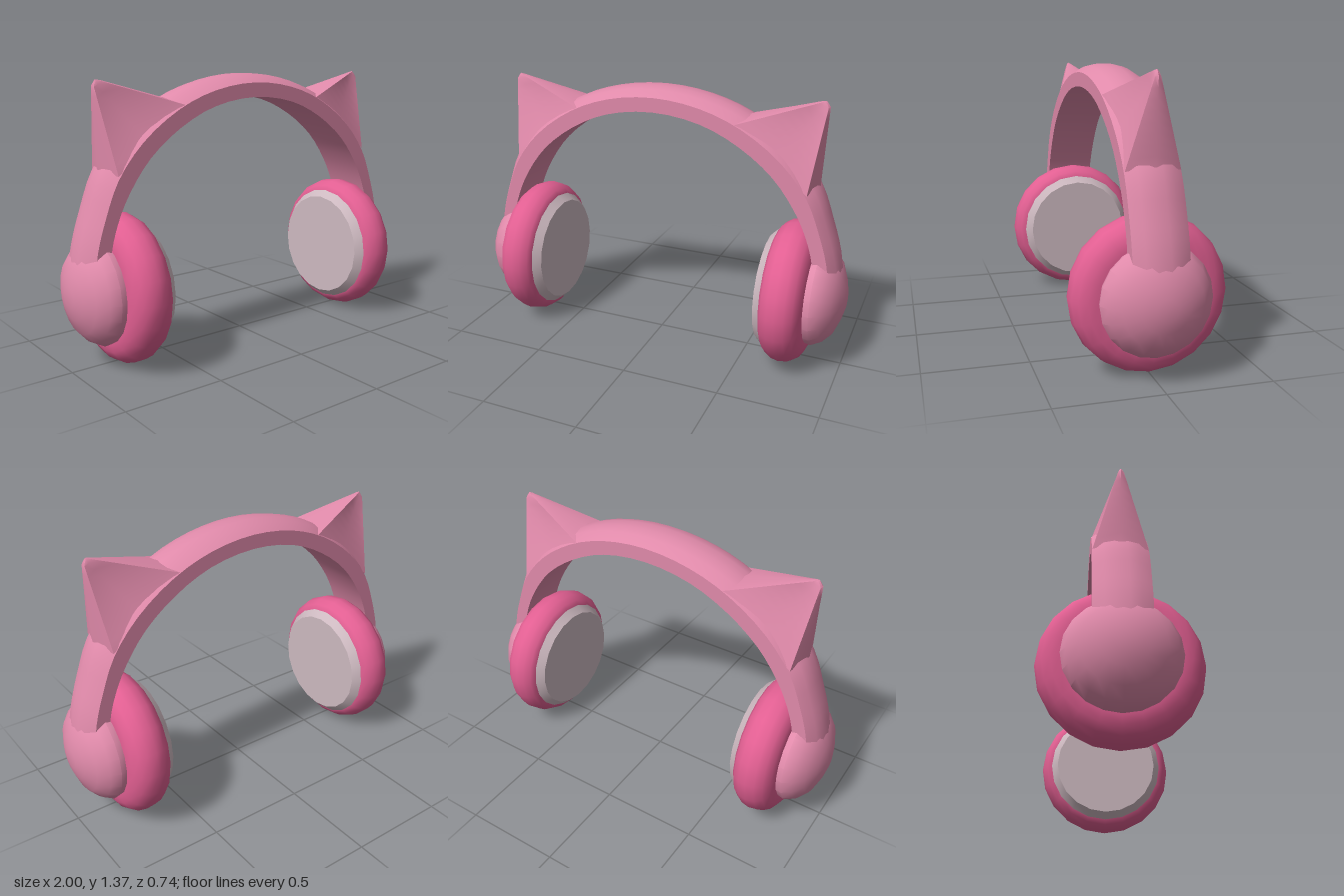
import * as THREE from 'three';
import { toCreasedNormals } from 'three/addons/utils/BufferGeometryUtils.js';

const V = (x, y, z = 0) => new THREE.Vector3(x, y, z);

// Skin a series of rings of points, closed around each ring
function loft(rings, crease) {
  const pos = [];
  const add = (...pts) => pts.forEach(p => pos.push(p.x, p.y, p.z));
  for (let i = 0; i < rings.length - 1; i++) {
    const a = rings[i], b = rings[i + 1], n = a.length;
    for (let j = 0; j < n; j++) {
      const k = (j + 1) % n;
      add(a[j], a[k], b[j]);
      add(a[k], b[k], b[j]);
    }
  }
  const g = new THREE.BufferGeometry();
  g.setAttribute('position', new THREE.Float32BufferAttribute(pos, 3));
  return toCreasedNormals(g, crease);
}

// Arch curve through the half profile and its mirror image
function arch(half) {
  const right = half.map(([x, y]) => V(x, y));
  const left = half.slice(1).reverse().map(([x, y]) => V(-x, y));
  return new THREE.CatmullRomCurve3([...left, ...right]);
}

// Headband: flat inside, straight sides, domed outside
function bandGeometry() {
  const inner = arch([[0, 1.255], [0.25, 1.22], [0.45, 1.13], [0.62, 1.0], [0.735, 0.85], [0.8, 0.72], [0.84, 0.58], [0.85, 0.4]]);
  const outer = arch([[0, 1.37], [0.24, 1.343], [0.46, 1.268], [0.68, 1.12], [0.825, 0.95], [0.9, 0.76], [0.95, 0.6], [0.985, 0.4]]);
  const rings = [];
  const steps = 42, w = 0.13;
  for (let i = 0; i <= steps; i++) {
    const I = inner.getPoint(i / steps), O = outer.getPoint(i / steps);
    const at = (f, z) => { const p = I.clone().lerp(O, f); p.z = z; return p; };
    rings.push([at(0, -w), at(0.63, -w), at(0.9, -0.08), at(1, -0.03), at(1, 0.03), at(0.9, 0.08), at(0.63, w), at(0, w)]);
  }
  return loft(rings, 0.6);
}

// Pointed ear: wide base on the band, dented faces, small rounded tip
function earGeometry() {
  const rings = [];
  const steps = 8, w = 0.128;
  const ring = (A, M, B, Ac, Bc, z, zm) => [
    V(A.x, A.y, z), V(M.x, M.y, zm), V(B.x, B.y, z), V(Bc.x, Bc.y, 0),
    V(B.x, B.y, -z), V(M.x, M.y, -zm), V(A.x, A.y, -z), V(Ac.x, Ac.y, 0)];
  for (let i = 0; i <= steps; i++) {
    const t = i / steps;
    const to = (x, y, tx, ty) => V(x, y).lerp(V(tx, ty), t);
    rings.push(ring(
      to(0.42, 1.235, 0.795, 1.352), to(0.62, 1.07, 0.818, 1.34), to(0.79, 0.93, 0.838, 1.33),
      to(0.45, 1.262, 0.795, 1.357), to(0.827, 0.95, 0.845, 1.335),
      w * (1 - t) + 0.014 * t, w * Math.pow(1 - t, 1.45) + 0.014 * t));
  }
  rings.push(rings[steps].map(p => V(0.825, 1.362).lerp(p, 0.45).setZ(p.z * 0.6)));
  rings.push(rings[steps].map(() => V(0.825, 1.362)));
  return loft(rings, 0.75);
}

// Turned part around the x axis, profile given as [x, radius]
function turned(profile, crease) {
  const g = new THREE.LatheGeometry(profile.map(([x, r]) => new THREE.Vector2(r, x)), 20);
  g.rotateZ(-Math.PI / 2);
  return toCreasedNormals(g, crease);
}

export function createModel() {
  const model = new THREE.Group();
  model.name = 'headphones';
  const material = (name, color) => {
    const m = new THREE.MeshStandardMaterial({ color });
    m.name = name;
    return m;
  };
  const softPink = material('soft pink', 0xe08aaa);
  const deepPink = material('deep pink', 0xe25f92);
  const paleGrey = material('pale grey', 0xcdb9c0);

  const add = (parent, name, geometry, mat) => {
    const mesh = new THREE.Mesh(geometry, mat);
    mesh.name = name;
    parent.add(mesh);
    return mesh;
  };

  add(model, 'headband', bandGeometry(), softPink);

  const ear = earGeometry();
  const shell = turned([[0.82, 0], [0.82, 0.25], [0.865, 0.26], [0.91, 0.235], [0.955, 0.185], [0.985, 0.11], [1.0, 0.05], [1.0, 0]], 0.75);
  const cushion = turned([[0.63, 0.2], [0.63, 0.31], [0.65, 0.34], [0.685, 0.362], [0.725, 0.37], [0.77, 0.362], [0.805, 0.338], [0.828, 0.3], [0.835, 0.26], [0.835, 0.15]], 0.75);
  const speaker = turned([[0.595, 0], [0.595, 0.28], [0.637, 0.318], [0.66, 0.318]], 0.5);

  // Both sides: the second is the first turned half way round
  for (const [side, angle] of [['left', 0], ['right', Math.PI]]) {
    const half = new THREE.Group();
    half.name = side + 'Side';
    half.rotation.y = angle;
    add(half, side + 'Ear', ear, softPink);
    for (const [name, g, m] of [['Shell', shell, softPink], ['Cushion', cushion, deepPink], ['Speaker', speaker, paleGrey]]) {
      add(half, side + name, g, m).position.y = 0.37;
    }
    model.add(half);
  }
  return model;
}
